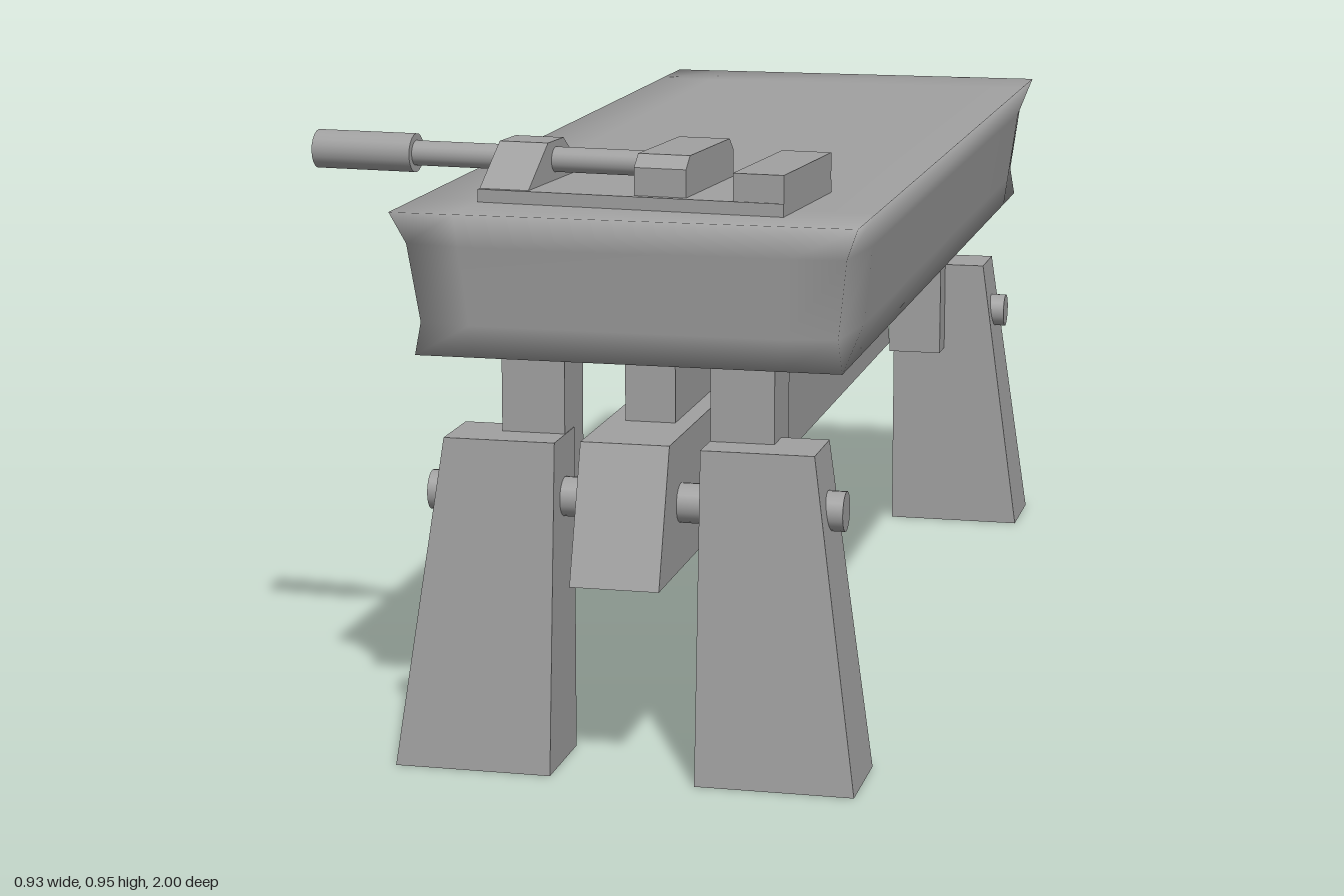
import * as THREE from 'three';
import { mergeVertices } from 'three/addons/utils/BufferGeometryUtils.js';

const CX = 0.102; // centre line of the bench
const grey = new THREE.MeshStandardMaterial({ color: 0xa0a0a0, side: THREE.DoubleSide });
grey.name = 'grey';

function add(parent, name, geometry) {
  const mesh = new THREE.Mesh(geometry, grey);
  mesh.name = name;
  parent.add(mesh);
  return mesh;
}

// Box given by its limits
function block(x0, x1, y0, y1, z0, z1) {
  return new THREE.BoxGeometry(x1 - x0, y1 - y0, z1 - z0)
    .translate((x0 + x1) / 2, (y0 + y1) / 2, (z0 + z1) / 2);
}

// Side profile of [z, y] points, extruded from x0 to x1
function prism(x0, x1, points) {
  const shape = new THREE.Shape(points.map(([z, y]) => new THREE.Vector2(z, y)));
  return new THREE.ExtrudeGeometry(shape, { depth: x1 - x0, bevelEnabled: false })
    .rotateY(-Math.PI / 2).translate(x1, 0, 0);
}

// Rod along x
function rod(x0, x1, y, z, r) {
  return new THREE.CylinderGeometry(r, r, x1 - x0, 20)
    .rotateZ(Math.PI / 2).translate((x0 + x1) / 2, y, z);
}

// Flared top with softly shaded edges
function tableGeometry() {
  let g = new THREE.BoxGeometry(2, 2, 2, 3, 3, 3);
  g.deleteAttribute('normal');
  g.deleteAttribute('uv');
  g = mergeVertices(g);
  const p = g.attributes.position;
  const loop = (v, k) => (Math.abs(v) > 0.9 ? Math.sign(v) : Math.sign(v) * k);
  for (let i = 0; i < p.count; i++) {
    const x = loop(p.getX(i), 0.72), y = loop(p.getY(i), 0.55), z = loop(p.getZ(i), 0.84);
    const t = (y + 1) / 2;
    const corner = Math.abs(x) === 1 && Math.abs(z) === 1 && Math.abs(y) < 1;
    const pull = corner ? 0.014 : 0;
    p.setXYZ(i,
      x * (0.332 + 0.028 * t - pull),
      0.645 + 0.225 * t,
      z * (0.92 + 0.033 * t - pull));
  }
  g.computeVertexNormals();
  return g;
}

// Leg, open below, flaring to the outside
function legGeometry(sx, sz) {
  const g = new THREE.BoxGeometry(1, 1, 1);
  const index = Array.from(g.index.array);
  index.splice(18, 6); // leave out the bottom
  g.setIndex(index);
  const p = g.attributes.position;
  for (let i = 0; i < p.count; i++) {
    const top = p.getY(i) > 0;
    const outX = p.getX(i) * sx > 0, outZ = p.getZ(i) * sz > 0;
    p.setXYZ(i,
      CX + sx * (outX ? (top ? 0.29 : 0.362) : 0.114),
      top ? 0.517 : 0,
      sz * (outZ ? (top ? 0.915 : 0.956) : 0.797));
  }
  g.computeVertexNormals();
  return g;
}

export function createModel() {
  const model = new THREE.Group();
  model.name = 'workbench';

  add(model, 'tableTop', tableGeometry()).position.x = CX;

  // Long beam with slanted ends, and the web joining it to the top
  add(model, 'beam', prism(0.033, 0.172, [[-1, 0.315], [1, 0.315], [0.93, 0.525], [-0.93, 0.525]]));
  add(model, 'web', block(0.063, 0.143, 0.525, 0.65, -0.77, 0.77));

  // Legs, posts and cross rods
  for (const sz of [1, -1]) {
    for (const sx of [1, -1]) {
      add(model, 'leg', legGeometry(sx, sz));
      const a = CX + sx * 0.115, b = CX + sx * 0.215;
      add(model, 'post', block(Math.min(a, b), Math.max(a, b), 0.35, 0.65,
        sz > 0 ? 0.74 : -0.85, sz > 0 ? 0.85 : -0.74));
    }
    add(model, 'crossRod', rod(-0.225, 0.43, 0.42, sz * 0.855, 0.031));
  }

  // Vise, turned slightly on the top
  const vise = new THREE.Group();
  vise.name = 'vise';
  vise.position.set(0.1, 0, 0.716);
  vise.rotation.y = -0.085;
  model.add(vise);
  add(vise, 'visePlate', block(-0.245, 0.245, 0.865, 0.89, -0.132, 0.132));
  add(vise, 'fixedJaw', block(0.165, 0.245, 0.885, 0.933, -0.13, 0.13));
  add(vise, 'movingJaw', prism(0.005, 0.088,
    [[-0.12, 0.885], [0.12, 0.885], [0.12, 0.933], [0.1, 0.952], [-0.1, 0.952], [-0.12, 0.933]]));
  add(vise, 'screwBlock', prism(-0.245, -0.165,
    [[-0.13, 0.885], [0.13, 0.885], [0.035, 0.952], [-0.035, 0.952]]));
  add(vise, 'viseScrew', rod(-0.41, 0.03, 0.922, 0, 0.02));
  add(vise, 'viseHandle', rod(-0.567, -0.4, 0.922, 0, 0.031));

  return model;
}
